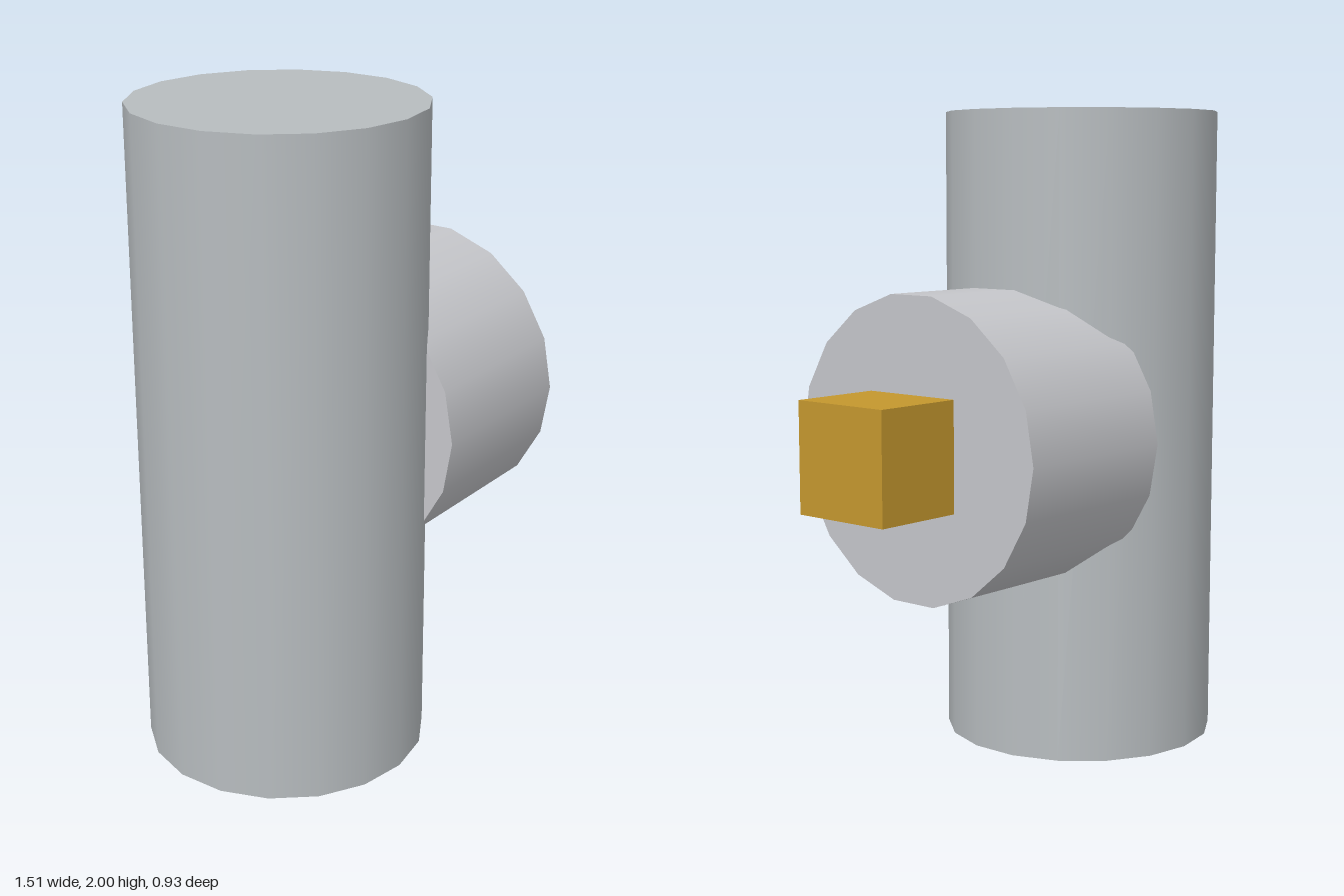
import * as THREE from 'three';

const material = (name, color) => {
  const m = new THREE.MeshStandardMaterial({ color });
  m.name = name;
  return m;
};

export function createModel() {
  const model = new THREE.Group();
  model.name = 'postWithSideBoss';

  const add = (name, geometry, mat, x, y) => {
    const mesh = new THREE.Mesh(geometry, mat);
    mesh.name = name;
    mesh.position.set(x, y, 0);
    model.add(mesh);
    return mesh;
  };

  // Upright post, 18 smooth sides
  add('post', new THREE.CylinderGeometry(0.432, 0.432, 2, 18),
    material('steel grey', 0xb7bcbf), -0.328, 1);

  // Short round boss lying along x, sunk into the post
  const boss = add('boss', new THREE.CylinderGeometry(0.465, 0.465, 0.58, 18),
    material('light grey', 0xc5c6ca), 0.17, 1);
  boss.rotation.z = -Math.PI / 2;

  // Square brass peg on the end of the boss
  add('peg', new THREE.BoxGeometry(0.292, 0.333, 0.333),
    material('brass', 0xc4972e), 0.606, 1);

  return model;
}
